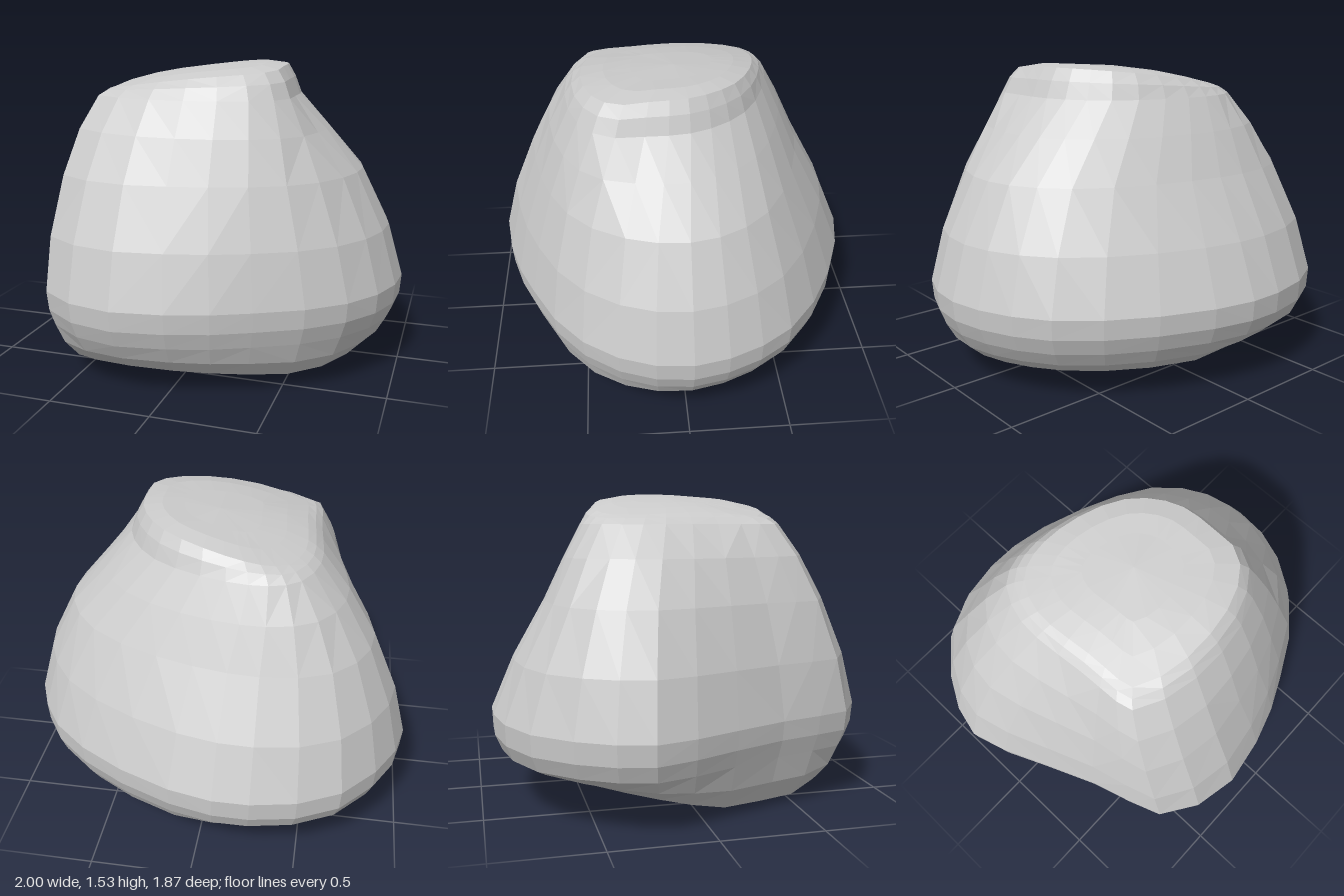
import * as THREE from 'three';

const COLS = 28, ROWS = 14;

// Matching [x, z] outlines, running from the sharp front corner round by the left side
const WIDE = [[-0.62, 0.77], [-0.3, 0.93], [0.1, 0.88], [0.4, 0.76], [0.74, 0.56], [0.94, 0.29],
  [1, 0], [0.93, -0.28], [0.76, -0.54], [0.42, -0.77], [0, -0.92], [-0.3, -0.93], [-0.66, -0.82],
  [-0.91, -0.54], [-1, -0.27], [-0.88, 0.06], [-0.71, 0.48]];
const MIDDLE = [[-0.58, 0.62], [-0.28, 0.74], [0.05, 0.71], [0.34, 0.63], [0.59, 0.48], [0.74, 0.24],
  [0.78, 0], [0.72, -0.22], [0.55, -0.42], [0.25, -0.57], [-0.05, -0.65], [-0.3, -0.67], [-0.58, -0.61],
  [-0.75, -0.44], [-0.8, -0.22], [-0.72, 0.08], [-0.62, 0.4]];
const SHOULDER = [[-0.47, 0.43], [-0.22, 0.53], [0.06, 0.54], [0.3, 0.48], [0.45, 0.35], [0.46, 0.14],
  [0.45, -0.03], [0.38, -0.19], [0.25, -0.33], [0.05, -0.43], [-0.15, -0.48], [-0.3, -0.48], [-0.42, -0.43],
  [-0.5, -0.29], [-0.52, -0.12], [-0.5, 0.1], [-0.49, 0.29]];

// Shallow bowl underside that turns up towards the front and the back right
const baseHeight = (x, z) => 0.12 * ((x + 0.15) ** 2 + (z - 0.3) ** 2)
  + 0.35 * Math.max(0, z - 0.5)
  + 0.2 * Math.max(0, (-x - z) * Math.SQRT1_2 - 0.45);
// Gently domed crown, higher on the left
const crownHeight = (x, z) => 1.505 + 0.1 * x - 0.2 * (x * x + z * z);

// Closed outline sampled into evenly parameterised columns, scaled and lifted by a height rule
function ring(outline, scale, height) {
  const curve = new THREE.CatmullRomCurve3(
    outline.map(([x, z]) => new THREE.Vector3(x, 0, z)), true);
  return Array.from({ length: COLS }, (_, i) => {
    const p = curve.getPoint(i / COLS).multiplyScalar(scale);
    p.y = height(p.x, p.z);
    return p;
  });
}

function boulderGeometry() {
  const rings = [
    ring(WIDE, 0.45, baseHeight),
    ring(WIDE, 0.84, baseHeight),
    ring(WIDE, 0.96, () => 0.27),
    ring(WIDE, 1, () => 0.45),
    ring(MIDDLE, 1, () => 1.0),
    ring(SHOULDER, 1, () => 1.37),
    ring(SHOULDER, 0.85, crownHeight),
    ring(SHOULDER, 0.4, crownHeight),
  ];
  const points = [], indices = [];

  // Each column is a smooth curve through the rings
  for (let i = 0; i < COLS; i++) {
    const column = new THREE.CatmullRomCurve3(rings.map((r) => r[i]));
    for (let j = 0; j <= ROWS; j++) {
      const p = column.getPoint(j / ROWS);
      p.y = Math.max(0, p.y);
      points.push(p);
    }
  }
  const bottom = points.length, top = bottom + 1;
  points.push(new THREE.Vector3(0, baseHeight(0, 0), 0), new THREE.Vector3(0, crownHeight(0, 0), 0));

  // Side quads split along the shorter diagonal, plus fans closing the underside and crown
  const at = (i, j) => (i % COLS) * (ROWS + 1) + j;
  for (let i = 0; i < COLS; i++) {
    for (let j = 0; j < ROWS; j++) {
      const a = at(i, j), b = at(i + 1, j), c = at(i + 1, j + 1), d = at(i, j + 1);
      if (points[a].distanceTo(points[c]) < points[b].distanceTo(points[d])) {
        indices.push(a, b, c, a, c, d);
      } else {
        indices.push(a, b, d, b, c, d);
      }
    }
    indices.push(bottom, at(i + 1, 0), at(i, 0));
    indices.push(top, at(i, ROWS), at(i + 1, ROWS));
  }

  const geometry = new THREE.BufferGeometry().setFromPoints(points);
  geometry.setIndex(indices);
  geometry.computeVertexNormals();
  return geometry;
}

export function createModel() {
  const group = new THREE.Group();
  group.name = 'rock';
  const boulder = new THREE.Mesh(
    boulderGeometry(),
    new THREE.MeshStandardMaterial({ color: 0xcccccc, flatShading: true }));
  boulder.name = 'boulder';
  group.add(boulder);
  return group;
}
